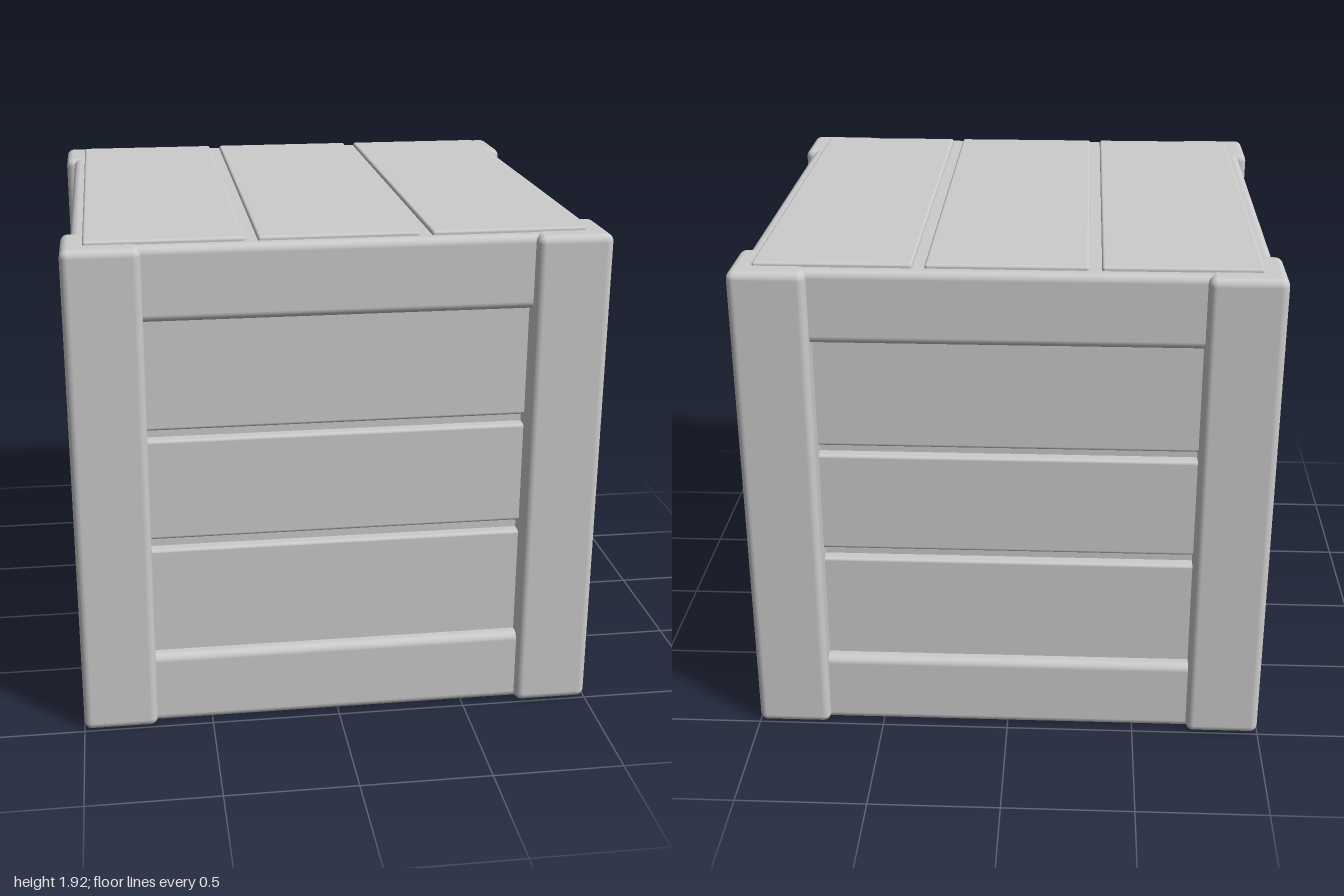
import * as THREE from 'three';
import { RoundedBoxGeometry } from 'three/addons/geometries/RoundedBoxGeometry.js';

export function createModel() {
  const crate = new THREE.Group();
  crate.name = 'crate';
  const paint = new THREE.MeshStandardMaterial({ color: 0xcccccc });
  paint.name = 'plain grey';

  // Rounded block given by its minimum and maximum corners
  function block(name, min, max, radius, parent = crate) {
    const size = max.map((v, i) => v - min[i]);
    const geometry = radius
      ? new RoundedBoxGeometry(...size, 3, radius)
      : new THREE.BoxGeometry(...size);
    const mesh = new THREE.Mesh(geometry, paint);
    mesh.name = name;
    mesh.position.set(...max.map((v, i) => (v + min[i]) / 2));
    parent.add(mesh);
    return mesh;
  }

  // Base and top frames, with the inner core behind the planks
  const rail = 0.965;
  block('baseFrame', [-rail, 0, -rail], [rail, 0.29, rail], 0.03);
  block('topFrame', [-rail, 1.63, -rail], [rail, 1.91, rail], 0.03);
  block('core', [-0.87, 0.2, -0.87], [0.87, 1.7, 0.87], 0);

  // Corner posts
  for (const x of [-1, 1]) {
    for (const z of [-1, 1]) {
      const post = block('cornerPost', [0.715, 0, 0.715], [1, 1.912, 1], 0.03);
      post.position.x *= x;
      post.position.z *= z;
    }
  }

  // Three horizontal planks on each of the four sides
  const planks = [[0.25, 0.715], [0.76, 1.16], [1.2, 1.67]];
  for (let i = 0; i < 4; i++) {
    const side = new THREE.Group();
    side.name = 'sidePanel';
    side.rotation.y = i * Math.PI / 2;
    for (const [bottom, top] of planks) {
      block('sidePlank', [-0.78, bottom, 0.82], [0.78, top, 0.915], 0.012, side);
    }
    crate.add(side);
  }

  // Lid planks
  for (const [left, right] of [[-0.918, -0.34], [-0.295, 0.295], [0.34, 0.918]]) {
    block('lidPlank', [left, 1.88, -0.918], [right, 1.925, 0.918], 0.01);
  }
  return crate;
}
